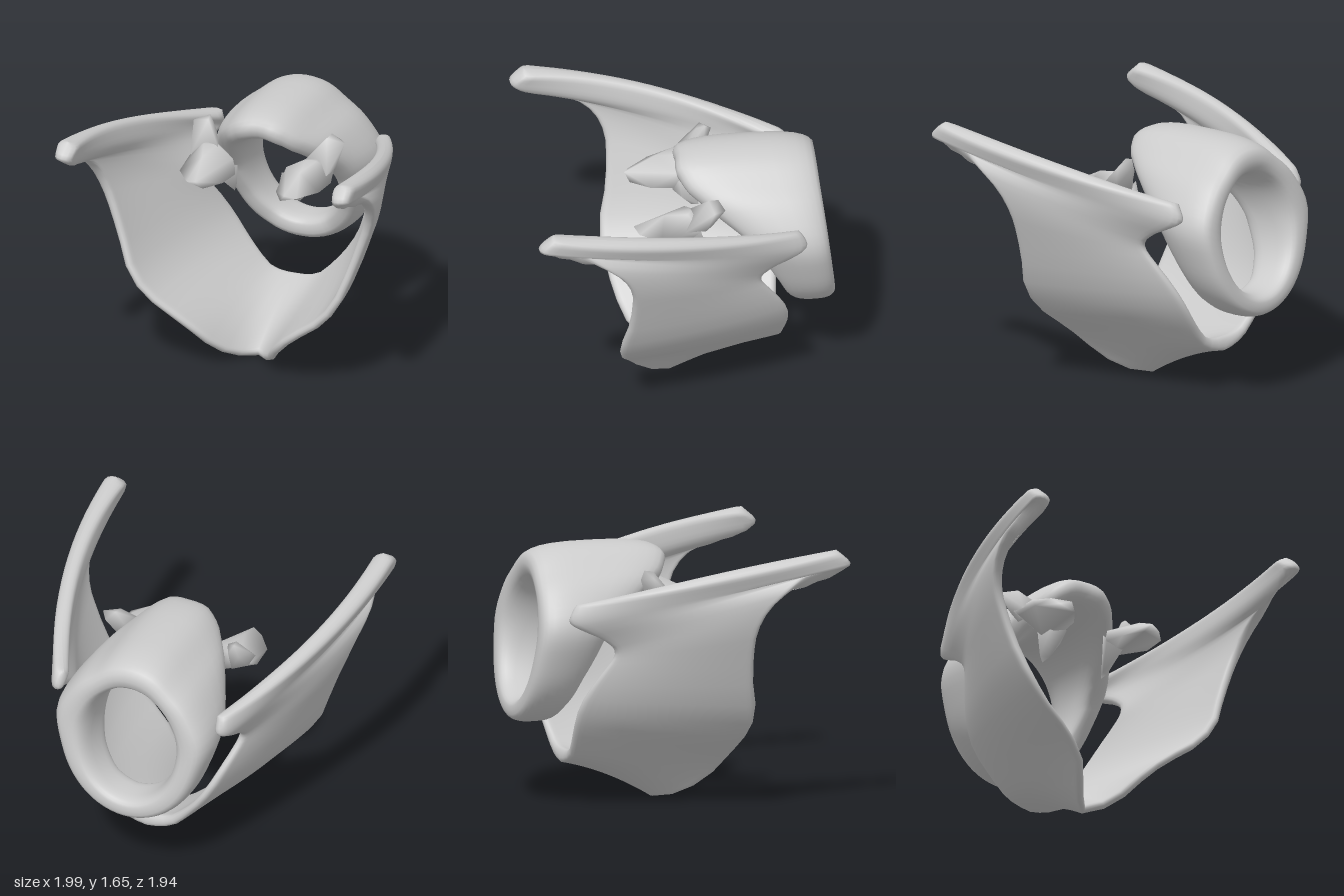
import * as THREE from 'three';
import { ConvexGeometry } from 'three/addons/geometries/ConvexGeometry.js';
import { mergeVertices } from 'three/addons/utils/BufferGeometryUtils.js';

const V = (x, y, z) => new THREE.Vector3(x, y, z);
const curve = (pts) => new THREE.CatmullRomCurve3(pts.map((p) => V(...p)));
const material = () => new THREE.MeshStandardMaterial({ color: 0xcccccc, roughness: 0.8 });

function part(name, geometry) {
  const mesh = new THREE.Mesh(geometry, material());
  mesh.name = name;
  return mesh;
}

// Skin a list of closed loops; the winding is flipped if the solid is inside out
function skin(loops, closed) {
  const n = loops[0].length, m = loops.length, pts = loops.flat(), index = [];
  for (let i = 0; i < (closed ? m : m - 1); i++) {
    for (let j = 0; j < n; j++) {
      const a = i * n + j, b = i * n + (j + 1) % n;
      const c = ((i + 1) % m) * n + j, d = ((i + 1) % m) * n + (j + 1) % n;
      index.push(a, b, d, a, d, c);
    }
  }
  let volume = 0;
  for (let i = 0; i < index.length; i += 3) {
    volume += pts[index[i]].dot(pts[index[i + 1]].clone().cross(pts[index[i + 2]]));
  }
  if (volume < 0) index.reverse();
  const g = new THREE.BufferGeometry().setFromPoints(pts);
  g.setIndex(index);
  g.computeVertexNormals();
  return g;
}

// Winged shield: front and back rims joined by bowed rows, mirrored over the midline
function shieldGeometry() {
  const front = curve([
    [0, 0.01, 0], [0.12, 0.045, 0.14], [0.22, 0.17, 0.3], [0.36, 0.31, 0.37], [0.54, 0.44, 0.41],
    [0.68, 0.6, 0.43], [0.77, 0.82, 0.385], [0.84, 1.02, 0.37], [0.89, 1.16, 0.38],
    [0.93, 1.3, 0.45], [0.955, 1.42, 0.6], [0.945, 1.49, 0.8], [0.935, 1.55, 0.97], [0.925, 1.645, 0.88],
  ]);
  const back = curve([
    [0, 0.29, -0.63], [0.09, 0.3, -0.63], [0.18, 0.335, -0.63], [0.27, 0.43, -0.64], [0.35, 0.53, -0.65],
    [0.43, 0.66, -0.64], [0.5, 0.81, -0.57], [0.55, 0.93, -0.49], [0.57, 0.99, -0.46],
    [0.58, 1.04, -0.47], [0.58, 1.11, -0.56], [0.57, 1.16, -0.67], [0.55, 1.21, -0.75], [0.53, 1.31, -0.7],
  ]);
  const surface = (s, v) => {
    const p = front.getPoint(s).lerp(back.getPoint(s), v);
    const bow = 4 * v * (1 - v);
    p.x += bow * Math.min(1, s * 4) * (0.035 + 0.1 * s ** 6);
    p.y += bow * (0.03 * s ** 6 + 0.035 * (1 - Math.min(1, s * 5)));
    return p;
  };
  const round = (d) => Math.sqrt(Math.max(0, 1 - (1 - Math.min(1, d)) ** 2));
  const rows = 30, cols = 26, e = 0.004, loops = [];
  for (let r = -rows; r <= rows; r++) {
    const s = Math.sin((Math.abs(r) / rows) * Math.PI / 2), side = r < 0 ? -1 : 1;
    const outer = [], inner = [];
    for (let k = 0; k <= cols; k++) {
      const v = (1 - Math.cos((k / cols) * Math.PI)) / 2;
      const p = surface(s, v);
      const ds = surface(Math.min(1, s + e), v).sub(surface(Math.max(0, s - e), v));
      const dv = surface(s, Math.min(1, v + e)).sub(surface(s, Math.max(0, v - e)));
      const normal = ds.cross(dv);
      if (r === 0) normal.x = 0;
      normal.normalize();
      const swell = 0.02 * v * Math.max(0, 1 - s * 4) + 0.03 * s ** 8 + 0.02 * s ** 3 * (1 - v) ** 2;
      const half = (0.026 + swell) * round(Math.min(v, 1 - v) / 0.03) * round((1 - s) / 0.03);
      const a = p.clone().addScaledVector(normal, half), b = p.clone().addScaledVector(normal, -half);
      for (const q of [a, b]) q.x *= side;
      outer.push(a);
      if (k > 0 && k < cols) inner.unshift(b);
    }
    loops.push([...outer, ...inner]);
  }
  return skin(loops, false);
}

// Signet ring: narrow at the bottom, drawn forward into a broad plate at the top
function ringGeometry() {
  const reach = [[0, 0.02], [15, 0.03], [32, -0.03], [48, -0.15], [60, -0.25], [75, -0.38], [90, -0.48], [120, -0.6], [150, -0.68], [180, -0.7]];
  const frontZ = (deg) => {
    let i = 1;
    while (i < reach.length - 1 && deg > reach[i][0]) i++;
    const [a, za] = reach[i - 1], [b, zb] = reach[i];
    return THREE.MathUtils.lerp(za, zb, (deg - a) / (b - a));
  };
  const hump = (deg, centre, width) => Math.exp(-(((deg - centre) / width) ** 2));
  const steps = 64, sides = 28, loops = [];
  for (let i = 0; i < steps; i++) {
    const t = (i / steps) * Math.PI * 2, sx = Math.sin(t), cy = Math.cos(t);
    const deg = THREE.MathUtils.radToDeg(Math.acos(THREE.MathUtils.clamp(cy, -1, 1)));
    const zf = frontZ(deg), zb = -0.915 + 0.055 * cy;
    const swell = 0.04 * hump(deg, 82, 16) - 0.025 * hump(deg, 36, 14);
    const loop = [];
    for (let j = 0; j < sides; j++) {
      const a = (j / sides) * Math.PI * 2;
      const c = Math.sign(Math.cos(a)) * Math.abs(Math.cos(a)) ** 0.7;
      const q = Math.sign(Math.sin(a)) * Math.abs(Math.sin(a)) ** 0.7;
      const k = 0.5 + 0.5 * q;
      // the inner wall opens out under the front of the plate, the sides draw in
      const flare = 0.05 * Math.max(0, c) * Math.max(0, cy);
      const taper = 0.04 * Math.max(0, c) * sx * sx;
      const rx = THREE.MathUtils.lerp(0.3 + flare, 0.495 + swell - taper, k);
      const ry = THREE.MathUtils.lerp(0.36 + flare, 0.56 + swell, k);
      loop.push(V(sx * rx, THREE.MathUtils.lerp(1.02, 1.073, k) + cy * ry, (zf + zb) / 2 + c * (zf - zb) / 2));
    }
    loops.push(loop);
  }
  return skin(loops, true);
}

// Small three-pronged piece: forward body, raised block and hanging spur
const prongs = {
  body: [
    [0.3, 1.25, 0.31], [0.26, 1.2, 0.28], [0.37, 1.23, 0.28], [0.47, 1.24, 0.15], [0.48, 1.24, -0.02],
    [0.47, 1.3, -0.1], [0.18, 1.2, 0.15], [0.15, 1.21, 0], [0.18, 1.3, -0.02], [0.26, 1.17, -0.08],
    [0.3, 1.36, -0.06], [0.38, 1.37, -0.02], [0.33, 1.34, 0.12], [0.37, 1.36, -0.15],
  ],
  block: [
    [0.51, 1.45, -0.18], [0.46, 1.44, -0.25], [0.41, 1.49, -0.21], [0.4, 1.48, -0.15], [0.33, 1.38, -0.1],
    [0.36, 1.4, -0.19], [0.47, 1.3, -0.13], [0.46, 1.29, 0], [0.28, 1.34, -0.03], [0.38, 1.28, -0.18],
  ],
  spur: [
    [0.22, 1.03, -0.15], [0.2, 1.05, -0.1], [0.25, 1.06, -0.13], [0.15, 1.2, 0.02], [0.16, 1.13, -0.04],
    [0.27, 1.18, 0.02], [0.15, 1.26, -0.02], [0.29, 1.22, -0.1],
  ],
};

function smoothHull(pts) {
  const hull = new ConvexGeometry(pts);
  hull.deleteAttribute('normal');
  const g = mergeVertices(hull);
  g.computeVertexNormals();
  return g;
}

function pivotPiece(side) {
  const group = new THREE.Group();
  group.name = side > 0 ? 'leftPivotPiece' : 'rightPivotPiece';
  for (const [name, pts] of Object.entries(prongs)) {
    group.add(part(name, smoothHull(pts.map(([x, y, z]) => V(side * x, y, z)))));
  }
  return group;
}

export function createModel() {
  const model = new THREE.Group();
  model.name = 'larynxCartilages';
  model.add(part('shieldCartilage', shieldGeometry()));
  model.add(part('ringCartilage', ringGeometry()));
  model.add(pivotPiece(1), pivotPiece(-1));
  return model;
}
